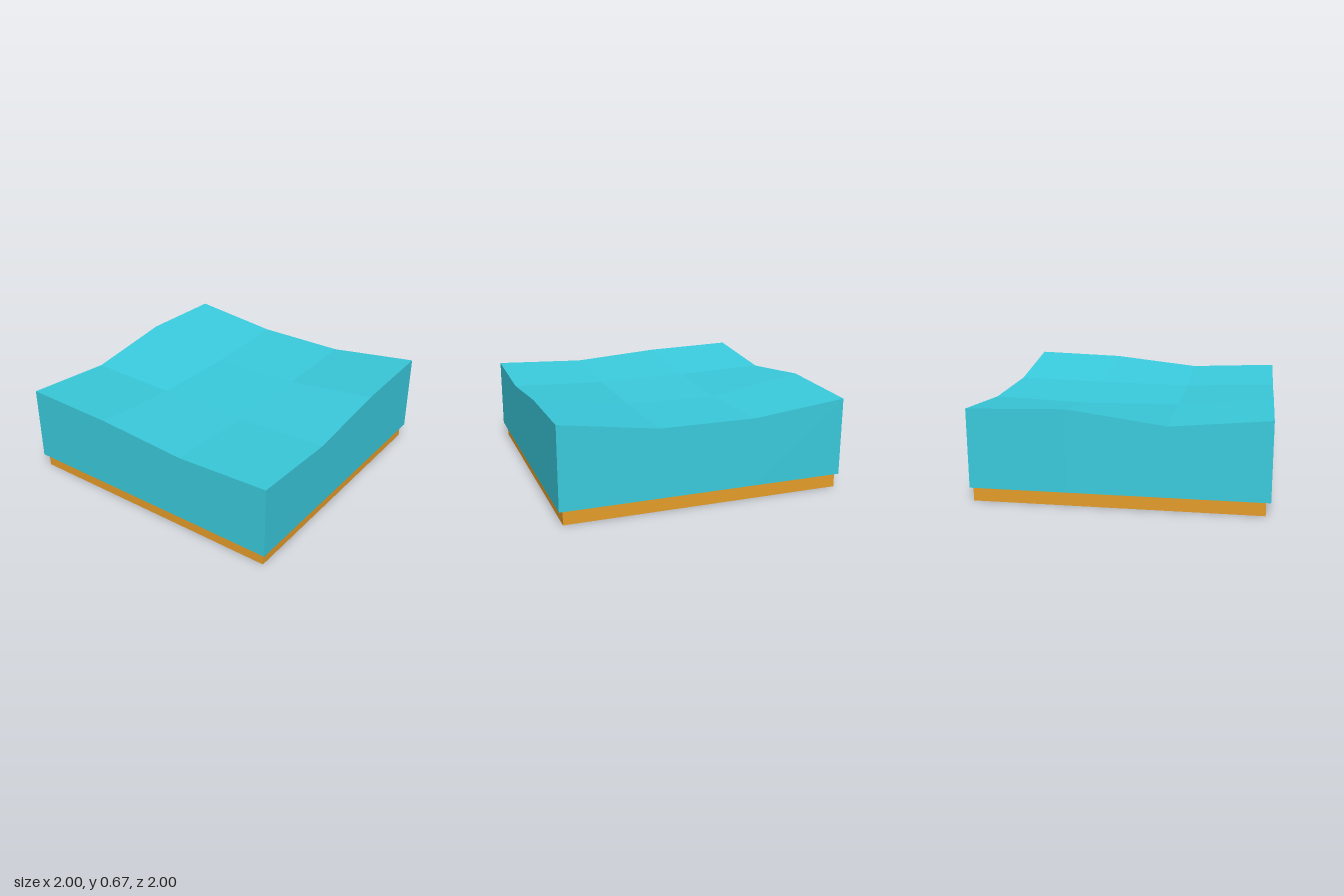
import * as THREE from 'three';

const paint = (name, color) => {
  const m = new THREE.MeshStandardMaterial({ color, side: THREE.DoubleSide });
  m.name = name;
  return m;
};

// Open-bottomed block whose top follows a square grid of heights
// (rows run from back to front, each row from -x to +x).
function reliefBlock(name, material, width, base, heights) {
  const n = heights.length - 1;
  const box = new THREE.BoxGeometry(width, 1, width, n, 1, n);
  const pos = box.attributes.position;
  const cell = (v) => Math.round((v / width + 0.5) * n);
  for (let i = 0; i < pos.count; i++) {
    const top = pos.getY(i) > 0;
    pos.setY(i, top ? heights[cell(pos.getZ(i))][cell(pos.getX(i))] : base);
  }
  // Leave out the bottom face
  const { start, count } = box.groups[3];
  const index = Array.from(box.index.array);
  index.splice(start, count);
  box.setIndex(index);
  box.clearGroups();
  const geometry = box.toNonIndexed();
  geometry.computeVertexNormals();
  // One shared normal for the two triangles of each cell
  const normals = geometry.attributes.normal;
  for (let i = 0; i < normals.count; i += 6) {
    const a = new THREE.Vector3().fromBufferAttribute(normals, i);
    const b = new THREE.Vector3().fromBufferAttribute(normals, i + 3);
    a.add(b).normalize();
    for (let k = 0; k < 6; k++) normals.setXYZ(i + k, a.x, a.y, a.z);
  }
  const mesh = new THREE.Mesh(geometry, material);
  mesh.name = name;
  return mesh;
}

export function createModel() {
  const group = new THREE.Group();
  group.name = 'waterTile';

  // Water with a gently rolling surface
  group.add(reliefBlock('water', paint('water teal', 0x3accde), 2, 0.098, [
    [0.645, 0.573, 0.575, 0.67],
    [0.665, 0.548, 0.56, 0.65],
    [0.577, 0.562, 0.553, 0.58],
    [0.64, 0.625, 0.58, 0.61],
  ]));

  // Hollow sand bed, uneven on top, reaching up inside the water
  const sand = reliefBlock('sandBed', paint('sand ochre', 0xe79e29), 1.95, 0, [
    [0.25, 0.28, 0.31, 0.35],
    [0.255, 0.27, 0.31, 0.36],
    [0.31, 0.28, 0.3, 0.36],
    [0.26, 0.245, 0.3, 0.36],
  ]);
  sand.position.set(-0.003, 0, -0.006);
  group.add(sand);
  return group;
}
